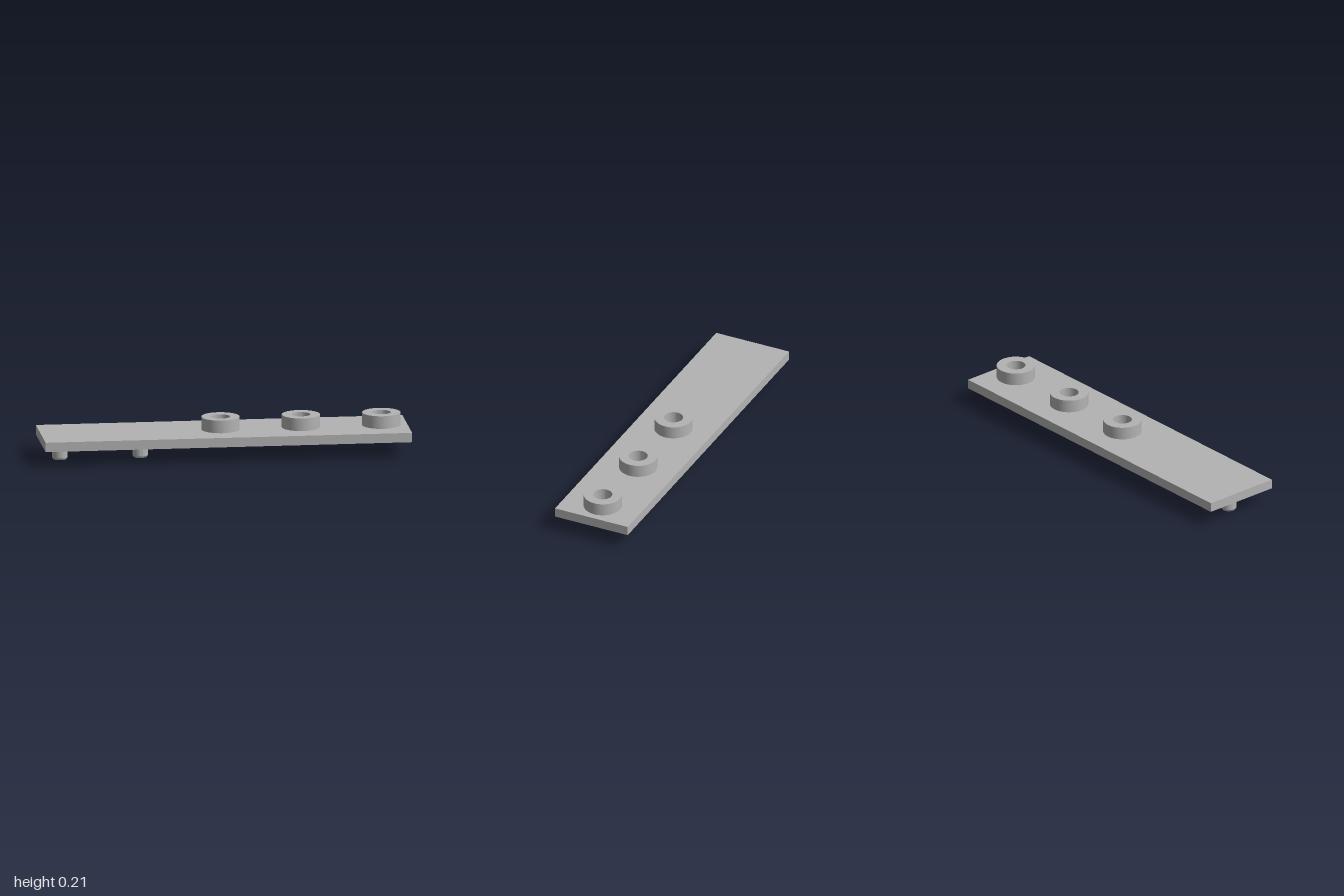
import * as THREE from 'three';
import { toCreasedNormals } from 'three/addons/utils/BufferGeometryUtils.js';

const PITCH = 0.4385, FIRST = -0.896;
const PLATE_Y = 0.089, PLATE_TOP = 0.141, TOP = 0.211;
const HOLE_R = 0.052, BOSS_R = 0.104, PEG_R = 0.042;

// Extrudes a plan shape with round through-holes upward from y0 to y1
function slab(shape, holeXs, y0, y1) {
  for (const x of holeXs) {
    shape.holes.push(new THREE.Path().absarc(x, 0, HOLE_R, 0, Math.PI * 2, true));
  }
  const geo = new THREE.ExtrudeGeometry(shape, { depth: y1 - y0, bevelEnabled: false, curveSegments: 24 });
  geo.rotateX(-Math.PI / 2).translate(0, y0, 0);
  return toCreasedNormals(geo, 0.5);
}

export function createModel() {
  const model = new THREE.Group();
  const grey = new THREE.MeshStandardMaterial({ color: 0xb3b3b3 });
  grey.name = 'grey';

  const add = (name, geo, x = 0) => {
    const mesh = new THREE.Mesh(geo, grey);
    mesh.name = name;
    mesh.position.x = x;
    model.add(mesh);
  };

  const pegXs = [0, 1].map((i) => FIRST + i * PITCH);
  const bossXs = [2, 3, 4].map((i) => FIRST + i * PITCH);

  // Flat plate with three through-holes
  const outline = new THREE.Shape([[-1, -0.219], [1, -0.219], [1, 0.219], [-1, 0.219]]
    .map(([x, y]) => new THREE.Vector2(x, y)));
  add('plate', slab(outline, bossXs, PLATE_Y, PLATE_TOP));

  // Ring bosses on top, around the holes
  const ring = new THREE.Shape().absarc(0, 0, BOSS_R, 0, Math.PI * 2, false);
  const bossGeo = slab(ring, [0], PLATE_TOP, TOP);
  bossXs.forEach((x, i) => add(`boss${i + 1}`, bossGeo, x));

  // Pegs underneath, with a small chamfer at the tip
  const profile = [[0, 0], [PEG_R - 0.006, 0], [PEG_R, 0.01], [PEG_R, PLATE_Y]]
    .map(([r, y]) => new THREE.Vector2(r, y));
  const pegGeo = toCreasedNormals(new THREE.LatheGeometry(profile, 40), 0.4);
  pegXs.forEach((x, i) => add(`peg${i + 1}`, pegGeo, x));

  return model;
}
